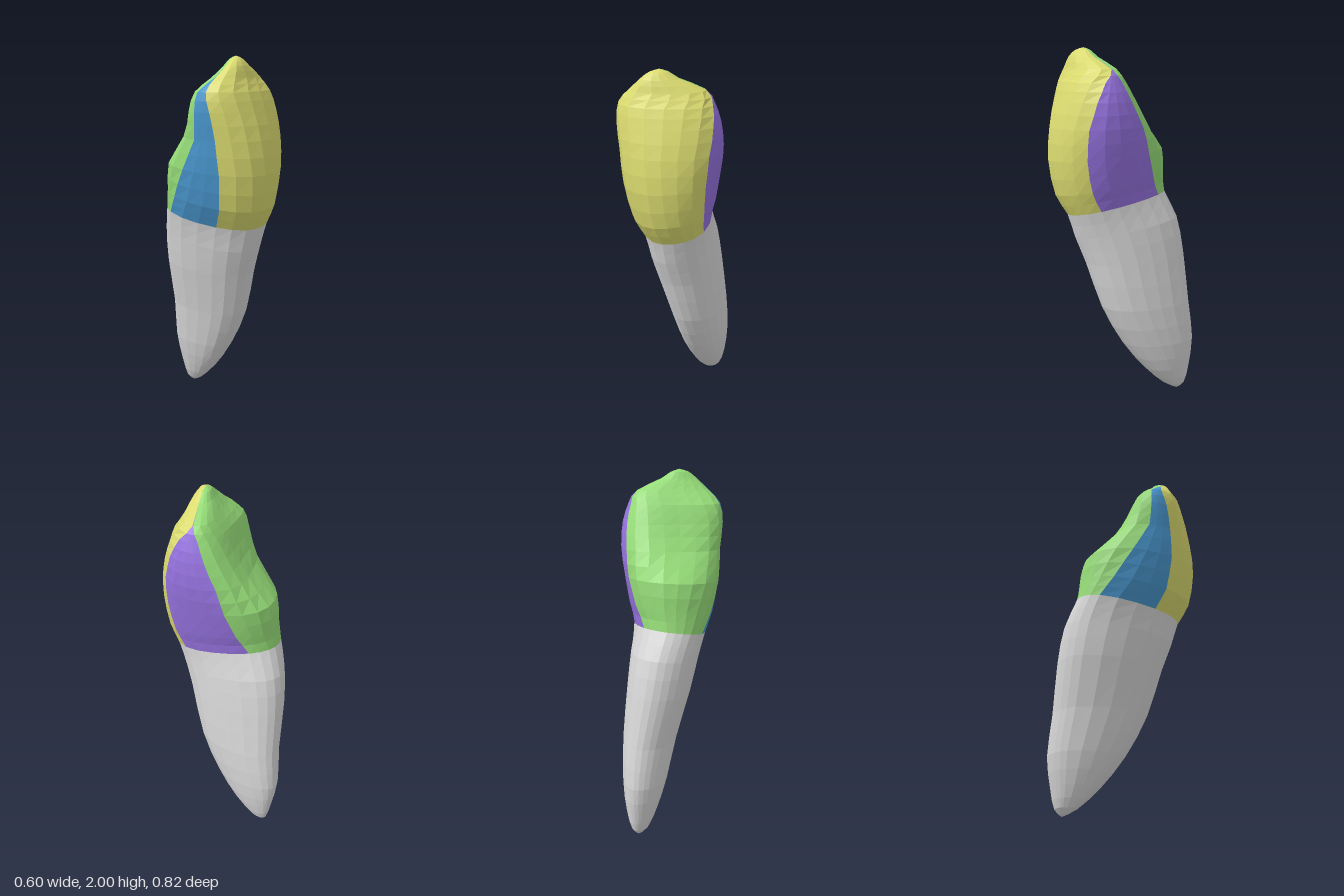
import * as THREE from 'three';

// Cross-sections from root tip to cusp: y, xMin, xMax, zMin, zMax, skew
const ROOT = [
  [0.0, -0.075, -0.075, -0.32, -0.32, 0],
  [0.04, -0.115, -0.025, -0.365, -0.235, 0.1],
  [0.15, -0.15, 0.045, -0.39, -0.125, 0.27],
  [0.32, -0.187, 0.112, -0.408, 0.0, 0.38],
  [0.55, -0.21, 0.167, -0.38, 0.115, 0.42],
  [0.82, -0.26, 0.187, -0.343, 0.205, 0.41],
  [1.0, -0.28, 0.203, -0.3, 0.264, 0.42],
];
const CROWN = [
  [1.14, -0.291, 0.226, -0.226, 0.302, 0.4],
  [1.25, -0.297, 0.261, -0.222, 0.37, 0.3],
  [1.42, -0.3, 0.288, -0.216, 0.411, 0.18],
  [1.58, -0.26, 0.298, -0.16, 0.409, -0.05],
  [1.72, -0.246, 0.284, -0.1, 0.391, -0.27],
  [1.82, -0.213, 0.251, -0.05, 0.371, -0.42],
  [1.89, -0.13, 0.2, 0.0, 0.336, -0.58],
  [1.95, -0.06, 0.105, 0.12, 0.3, -0.5],
  [1.985, -0.02, 0.06, 0.165, 0.26, -0.4],
  [2.0, 0.02, 0.02, 0.21, 0.21, 0],
];
// Angles (degrees) where the four crown faces meet, one row per crown section
const BORDERS = [
  [-15, 105, 168, 270],
  [-9, 108, 163, 281],
  [-3, 113, 154, 291],
  [3, 126, 153, 294],
  [1, 137, 162, 305],
  [-8, 152, 172, 315],
  [-25, 165, 168, 333],
  [-28, 165, 165, 332],
  [-28, 165, 165, 332],
  [-28, 165, 165, 332],
];
const STEPS = 2; // rings per section
const SQUARE = 2.3; // 2 is an ellipse, more flattens the four sides

function catmull(a, b, c, d, t) {
  return 0.5 * (2 * b + (c - a) * t + (2 * a - 5 * b + 4 * c - d) * t * t + (3 * b - a - 3 * c + d) * t * t * t);
}

// Subdivided list of rings: smooth section values followed by linear border angles
function makeRings() {
  const keys = [...ROOT.map((r) => [...r, ...BORDERS[0]]), ...CROWN.map((r, i) => [...r, ...BORDERS[i]])];
  const key = (i) => keys[Math.min(Math.max(i, 0), keys.length - 1)];
  const rings = [];
  for (let i = 0; i < keys.length - 1; i++) {
    for (let s = 0; s < STEPS; s++) {
      const t = s / STEPS;
      rings.push(key(i).map((v, k) => (k < 6
        ? catmull(key(i - 1)[k], v, key(i + 1)[k], key(i + 2)[k], t)
        : THREE.MathUtils.lerp(v, key(i + 1)[k], t))));
    }
  }
  rings.push(key(keys.length - 1));
  return rings;
}

// Point on a ring; face 0..3 picks the sector, f runs 0..1 across it
function ringPoint(ring, face, f) {
  const [y, x0, x1, z0, z1, skew] = ring;
  const borders = [...ring.slice(6), ring[6] + 360];
  const t = THREE.MathUtils.degToRad(THREE.MathUtils.lerp(borders[face], borders[face + 1], f));
  const lean = Math.asin(skew);
  // Rounded-square factor along the diagonal axes, 1 at the x and z extremes
  const diagonal = t - Math.PI / 4 + lean / 2;
  const sum = Math.abs(Math.cos(diagonal)) ** SQUARE + Math.abs(Math.sin(diagonal)) ** SQUARE;
  const k = (2 * sum ** (-2 / SQUARE) / 2 ** (2 - 2 / SQUARE)) ** 0.5;
  const cz = (z0 + z1) / 2;
  let x = (x0 + x1) / 2 + ((x1 - x0) / 2) * k * Math.cos(t);
  let z = cz + ((z1 - z0) / 2) * k * Math.sin(t + lean);
  // The neck line dips toward the front
  const tilt = 0.2 * (z - cz) * Math.exp(-(((y - 1.15) / 0.3) ** 2));
  // Hollow in the inner face
  if (face === 2 && y > 1.42 && y < 1.96) {
    const dent = 0.06 * Math.sin((Math.PI * (y - 1.42)) / 0.54) * Math.sin(Math.PI * f) ** 2;
    x += dent * 0.64;
    z += dent * 0.77;
  }
  return [x, y - tilt, z];
}

// Surface over a range of rings for the given sectors
function makePatch(rings, faces) {
  const columns = [7, 3, 8, 4];
  const positions = [];
  const index = [];
  for (const face of faces) {
    const n = columns[face];
    const start = positions.length / 3;
    rings.forEach((ring, i) => {
      for (let j = 0; j <= n; j++) positions.push(...ringPoint(ring, face, j / n));
      if (i === rings.length - 1) return;
      for (let j = 0; j < n; j++) {
        const a = start + i * (n + 1) + j;
        const c = a + n + 1;
        index.push(a, c, a + 1, a + 1, c, c + 1);
      }
    });
  }
  const geometry = new THREE.BufferGeometry();
  geometry.setAttribute('position', new THREE.Float32BufferAttribute(positions, 3));
  geometry.setIndex(index);
  geometry.computeVertexNormals();
  return geometry;
}

function material(name, color) {
  return new THREE.MeshStandardMaterial({ name, color, flatShading: true });
}

export function createModel() {
  const tooth = new THREE.Group();
  tooth.name = 'tooth';
  const rings = makeRings();
  const neck = ROOT.length * STEPS;
  const rootRings = rings.slice(0, neck + 1);
  const crownRings = rings.slice(neck);

  const add = (name, ringSet, faces, mat) => {
    const mesh = new THREE.Mesh(makePatch(ringSet, faces), mat);
    mesh.name = name;
    tooth.add(mesh);
  };
  add('root', rootRings, [0, 1, 2, 3], material('light grey', 0xd9d9d9));
  add('crownOuterFace', crownRings, [0], material('yellow', 0xdbdb70));
  add('crownRightFace', crownRings, [1], material('blue', 0x4a98d0));
  add('crownInnerFace', crownRings, [2], material('green', 0x96dd78));
  add('crownLeftFace', crownRings, [3], material('purple', 0x9673e0));
  return tooth;
}
